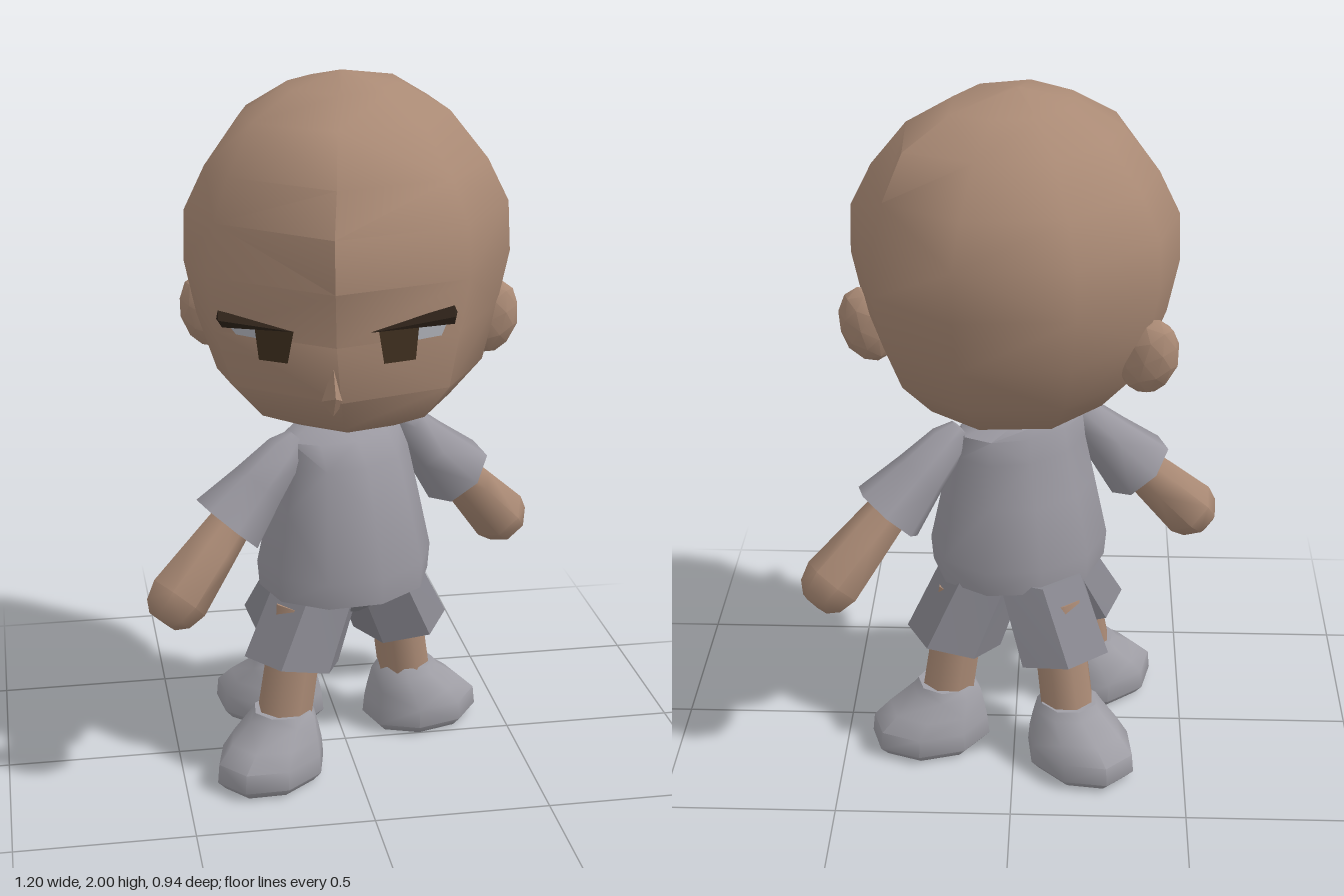
import * as THREE from 'three';
import { toCreasedNormals } from 'three/addons/utils/BufferGeometryUtils.js';
import { ConvexGeometry } from 'three/addons/geometries/ConvexGeometry.js';

const mat = (name, color, side = THREE.FrontSide) => {
  const m = new THREE.MeshStandardMaterial({ color, side });
  m.name = name;
  return m;
};

// Closed skin over a stack of rings, each an array of [x, y, z] running front, left, back, right
function loft(rings, crease = 0.95) {
  const n = rings[0].length, pos = rings.flat(2), idx = [];
  for (let i = 0; i < rings.length - 1; i++) {
    for (let j = 0; j < n; j++) {
      const k = (j + 1) % n, a = i * n + j, b = i * n + k, c = b + n, d = a + n;
      if ((i + j) % 2) idx.push(a, b, c, a, c, d);
      else idx.push(a, b, d, b, c, d);
    }
  }
  const cap = (ring, start, flip) => {
    const c = pos.length / 3;
    for (let q = 0; q < 3; q++) pos.push(ring.reduce((s, p) => s + p[q], 0) / n);
    for (let j = 0; j < n; j++) {
      const a = start + j, b = start + (j + 1) % n;
      if (flip) idx.push(c, b, a);
      else idx.push(c, a, b);
    }
  };
  cap(rings[0], 0, true);
  cap(rings[rings.length - 1], (rings.length - 1) * n, false);
  const g = new THREE.BufferGeometry();
  g.setAttribute('position', new THREE.Float32BufferAttribute(pos, 3));
  g.setIndex(idx);
  return toCreasedNormals(g, crease);
}

// Elliptical ring at height y, pushed forward by cz, rising towards the front by tilt
const oval = (y, rx, rz, n, cz = 0, tilt = 0) => Array.from({ length: n }, (_, j) => {
  const a = (j + 0.5) / n * Math.PI * 2, z = Math.cos(a) * rz;
  return [Math.sin(a) * rx, y + tilt * z, cz + z];
});

export function createModel() {
  const root = new THREE.Group();
  root.name = 'bigHeadedFigure';
  const skin = mat('skin', 0xaa8a75);
  const shirtMat = mat('shirt grey', 0x9a98a0);
  const shortsMat = mat('shorts grey', 0x88878f);
  const shoeMat = mat('shoe grey', 0xa09fa6);
  const irisMat = mat('iris brown', 0x40301f, THREE.DoubleSide);
  const whiteMat = mat('eye white', 0xb0b2ba, THREE.DoubleSide);
  const browMat = mat('brow dark brown', 0x2c2118);

  const add = (name, geo, material) => {
    const m = new THREE.Mesh(geo, material);
    m.name = name;
    root.add(m);
    return m;
  };
  // Tapered limb between two points; profile holds [radius, fraction of length]
  const limb = (name, from, to, profile, sides, material) => {
    const a = new THREE.Vector3(...from), dir = new THREE.Vector3(...to).sub(a), len = dir.length();
    const m = add(name, loft(profile.map(([r, t]) => oval(t * len, r, r, sides))), material);
    m.position.copy(a);
    m.quaternion.setFromUnitVectors(new THREE.Vector3(0, 1, 0), dir.normalize());
  };

  // Head: one outline scaled by [height, scale x, scale z, shift z, back-left bulge, front-right bulge]
  const outline = [[-0.1, 0.44], [0.28, 0.33], [0.46, 0.04], [0.37, -0.3], [0.15, -0.47],
    [-0.17, -0.45], [-0.39, -0.22], [-0.45, 0], [-0.42, 0.2]];
  const levels = [[1.06, 0.36, 0.36, 0.09, 1, 1], [1.1, 0.62, 0.66, 0.05, 1, 1],
    [1.2, 0.82, 0.85, 0.045, 1, 1], [1.35, 0.93, 0.94, 0, 1, 1], [1.5, 1, 1, 0, 1, 0.97],
    [1.64, 0.99, 0.98, -0.01, 1, 0.92], [1.76, 0.86, 0.88, -0.01, 1.06, 0.95],
    [1.89, 0.64, 0.66, -0.035, 1.2, 1], [1.965, 0.36, 0.4, -0.035, 1.25, 1],
    [2, 0.03, 0.03, -0.05, 1, 1]];
  add('head', loft(levels.map(([y, sx, sz, dz, back, front]) => outline.map(([x, z], j) => {
    const k = j === 3 ? back : j === 8 ? front : 1;
    return [x * sx * k, y, z * sz * k + dz];
  }))), skin);

  // Ears, tilted with the lobes towards the jaw
  [[0.415, 1.3, -0.005], [-0.365, 1.3, -0.2]].forEach(([x, y, z], i) => {
    const ear = add(i ? 'rightEar' : 'leftEar',
      toCreasedNormals(new THREE.IcosahedronGeometry(1, 1), 0.6), skin);
    ear.position.set(x, y, z);
    ear.scale.set(0.083, 0.112, 0.06);
    ear.rotation.y = -0.23;
    ear.rotation.z = i ? 0.25 : -0.25;
  });

  const hull = pts => new ConvexGeometry(pts.map(p => new THREE.Vector3(...p)));
  add('nose', hull([[-0.1, 1.3, 0.4], [-0.13, 1.2, 0.39], [-0.07, 1.2, 0.4],
    [-0.1, 1.16, 0.4], [-0.105, 1.23, 0.47]]), skin);

  // Eyes and brows follow the two slanted planes of the face
  const faceZ = x => 0.435 + (x > -0.095 ? -0.28 : 0.68) * (x + 0.095);
  const plate = (name, pts, material, lift) => {
    const g = new THREE.ShapeGeometry(new THREE.Shape(pts.map(p => new THREE.Vector2(...p))));
    const p = g.attributes.position;
    for (let i = 0; i < p.count; i++) p.setZ(i, faceZ(p.getX(i)) + lift);
    g.computeVertexNormals();
    add(name, g, material);
  };
  plate('leftEyeWhite', [[0.1, 1.35], [0.2, 1.355], [0.23, 1.42], [0.1, 1.4]], whiteMat, 0);
  plate('leftIris', [[0.035, 1.3], [0.125, 1.3], [0.135, 1.41], [0.02, 1.39]], irisMat, 0.006);
  plate('rightEyeWhite', [[-0.34, 1.36], [-0.26, 1.355], [-0.26, 1.39], [-0.37, 1.4]], whiteMat, 0);
  plate('rightIris', [[-0.285, 1.3], [-0.215, 1.3], [-0.2, 1.39], [-0.295, 1.39]], irisMat, 0.006);
  add('leftBrow', hull([[0, 1.38, 0.38], [0, 1.39, 0.415], [0.24, 1.43, 0.32], [0.24, 1.42, 0.36],
    [0.22, 1.425, 0.425], [0.22, 1.405, 0.42]]), browMat);
  add('rightBrow', hull([[-0.2, 1.38, 0.34], [-0.2, 1.39, 0.375], [-0.38, 1.41, 0.2],
    [-0.39, 1.4, 0.25], [-0.39, 1.41, 0.305], [-0.38, 1.39, 0.3]]), browMat);

  // Neck and shirt, the body turned towards its left
  limb('neck', [0, 0.96, 0], [0, 1.12, 0], [[0.1, 0], [0.095, 1]], 8, skin);
  const torso = add('shirt', loft([
    oval(0.545, 0.262, 0.232, 10), oval(0.62, 0.27, 0.236, 10), oval(0.8, 0.235, 0.192, 10),
    oval(0.93, 0.21, 0.157, 10), oval(1.0, 0.2, 0.127, 10, -0.015),
    oval(1.03, 0.11, 0.1, 10, -0.03)]), shirtMat);
  torso.position.set(-0.008, 0, 0.03);
  torso.rotation.y = 0.66;

  // Flared sleeves and arms: shoulder, sleeve hem, hand
  [['left', [0.19, 0.97, -0.075], [0.36, 0.78, -0.15], [0.55, 0.56, -0.265]],
    ['right', [-0.19, 0.97, 0.12], [-0.36, 0.78, 0.165], [-0.55, 0.56, 0.265]]]
    .forEach(([side, shoulder, hem, hand]) => {
      limb(side + 'Sleeve', shoulder, hem,
        [[0.03, -0.2], [0.058, 0], [0.08, 0.45], [0.112, 1]], 7, shirtMat);
      limb(side + 'Arm', hem.map((v, i) => v * 0.85 + shoulder[i] * 0.15), hand,
        [[0.06, 0], [0.073, 0.35], [0.09, 0.82], [0.075, 0.97], [0.045, 1.05]], 7, skin);
    });

  // Shorts seat
  const seat = add('shortsSeat', loft([oval(0.47, 0.13, 0.1, 8), oval(0.52, 0.2, 0.16, 8),
    oval(0.6, 0.22, 0.18, 8)], 0.5), shortsMat);
  seat.position.z = 0.02;
  seat.rotation.y = 0.66;

  // Three legs, each with a trouser leg and a shoe pointing outwards: foot centre and toe direction
  [['left', 0.25, -0.125, 0.95, -0.3], ['right', -0.25, 0.19, -0.77, 0.64],
    ['back', -0.197, -0.235, -0.7, -0.71]].forEach(([side, x, z, dx, dz]) => {
    const ankle = [x - dx * 0.05, 0.14, z - dz * 0.05], reach = Math.hypot(x, z);
    limb(side + 'Leg', ankle, [x * 0.6, 0.5, z * 0.6], [[0.08, 0], [0.077, 1]], 8, skin);
    const trouser = add(side + 'ShortsLeg', loft([
      oval(0.342, 0.148, 0.135, 6, reach * 0.72, 0.2),
      oval(0.57, 0.14, 0.13, 6, reach * 0.33)], 0.3), shortsMat);
    trouser.rotation.y = Math.atan2(x, z);
    const shoe = add(side + 'Shoe', loft([
      oval(0, 0.12, 0.155, 8, 0.05), oval(0.025, 0.142, 0.18, 8, 0.05),
      oval(0.08, 0.139, 0.174, 8, 0.05), oval(0.125, 0.122, 0.145, 8, 0.03),
      oval(0.175, 0.1, 0.102, 8), oval(0.2, 0.085, 0.085, 8)]), shoeMat);
    shoe.position.set(ankle[0], 0, ankle[2]);
    shoe.rotation.y = Math.atan2(dx, dz);
  });

  return root;
}
